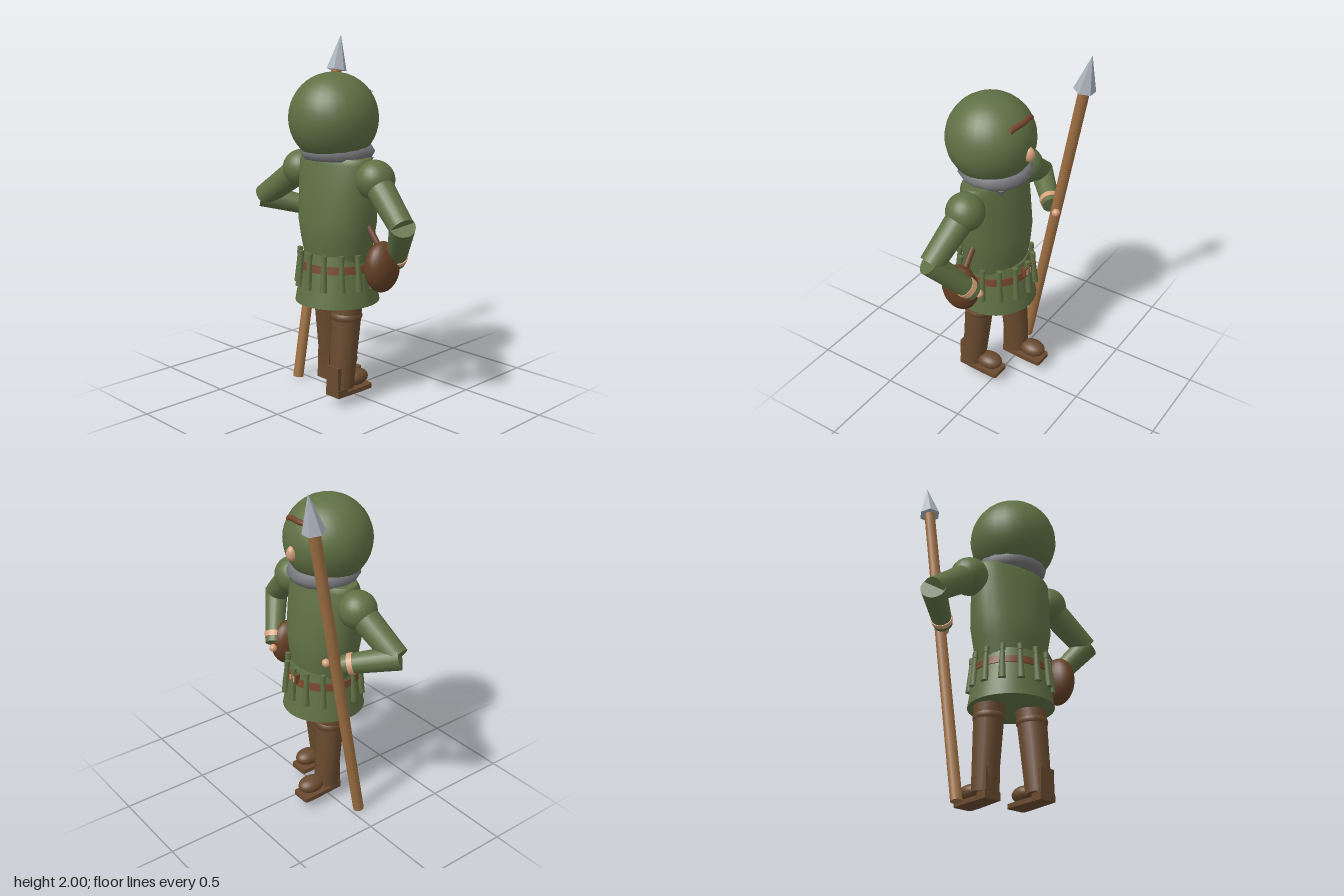
import * as THREE from 'three';

const mat = (name, color) => {
  const m = new THREE.MeshStandardMaterial({ color });
  m.name = name;
  return m;
};
const V = (x, y, z) => new THREE.Vector3(x, y, z);

export function createModel() {
  const green = mat('green cloth', 0x5f7044);
  const leather = mat('brown leather', 0x694a2f);
  const sackBrown = mat('dark sack brown', 0x643f25);
  const beltBrown = mat('belt red brown', 0x75462d);
  const wood = mat('spear wood', 0x9e6f42);
  const steel = mat('steel', 0xaab3bb);
  const skin = mat('skin', 0xd6a17c);
  const grey = mat('grey scarf', 0x77777c);

  const model = new THREE.Group();
  model.name = 'spearman';

  const add = (name, geo, material, pos = [0, 0, 0], scale = [1, 1, 1], parent = model) => {
    const m = new THREE.Mesh(geo, material);
    m.name = name;
    m.position.set(...pos);
    m.scale.set(...scale);
    parent.add(m);
    return m;
  };
  const ball = (name, material, pos, radii, parent) =>
    add(name, new THREE.SphereGeometry(1, 24, 16), material, pos, radii, parent);

  // Tapered rod from point a to point b
  const rod = (name, material, a, b, ra, rb, sides = 20, parent = model) => {
    const dir = b.clone().sub(a);
    const m = add(name, new THREE.CylinderGeometry(rb, ra, dir.length(), sides), material,
      a.clone().add(b).multiplyScalar(0.5).toArray(), [1, 1, 1], parent);
    m.quaternion.setFromUnitVectors(V(0, 1, 0), dir.normalize());
    return m;
  };

  // Elliptical loft; rings from the top down: [y, centre x, half x, half z]
  const loft = (name, material, rings, cz = 0.013) => {
    const n = rings.length - 1;
    const g = new THREE.CylinderGeometry(1, 1, 1, 32, n);
    const p = g.attributes.position;
    for (let i = 0; i < p.count; i++) {
      const [y, cx, hx, hz] = rings[Math.round((0.5 - p.getY(i)) * n)];
      p.setXYZ(i, cx + p.getX(i) * hx, y, cz + p.getZ(i) * hz);
    }
    g.computeVertexNormals();
    return add(name, g, material);
  };

  // Head, nose and brow
  const head = V(-0.084, 1.575, 0.012);
  add('head', new THREE.SphereGeometry(0.244, 28, 20), green, head.toArray());
  ball('nose', skin, [0.152, 1.543, 0.013], [0.034, 0.043, 0.029]);
  const browPoints = [];
  for (let i = -4; i <= 4; i++) {
    const z = i * 0.0255, y = 0.137 - 0.016 * (i / 4) ** 4;
    browPoints.push(V(Math.sqrt(0.241 ** 2 - y * y - z * z), y, z).add(head));
  }
  add('brow', new THREE.TubeGeometry(new THREE.CatmullRomCurve3(browPoints), 24, 0.016, 8), beltBrown);

  // Scarf with a small knot
  const scarf = add('scarf', new THREE.TorusGeometry(0.163, 0.041, 6, 16), grey, [-0.056, 1.393, 0.013]);
  scarf.rotation.x = Math.PI / 2;
  const knot = add('scarfKnot', new THREE.ConeGeometry(0.035, 0.06, 5), grey, [0.055, 1.33, 0.13]);
  knot.rotation.x = Math.PI;

  // Tunic body and skirt
  loft('torso', green, [
    [1.37, -0.063, 0.12, 0.235],
    [1.34, -0.063, 0.137, 0.252],
    [1.2, -0.06, 0.162, 0.253],
    [1.02, -0.058, 0.188, 0.242],
    [0.92, -0.057, 0.183, 0.22],
    [0.8, -0.056, 0.165, 0.195],
  ]);
  loft('skirt', green, [[0.845, -0.056, 0.182, 0.19], [0.565, -0.058, 0.235, 0.234]]);

  // Belt and buckle
  loft('belt', beltBrown, [[0.793, -0.056, 0.2, 0.206], [0.752, -0.056, 0.207, 0.212]]);
  add('buckleFrame', new THREE.BoxGeometry(0.03, 0.055, 0.062), beltBrown, [0.148, 0.795, 0.013]);
  add('buckle', new THREE.BoxGeometry(0.012, 0.034, 0.042), skin, [0.16, 0.795, 0.013]);

  // Ring of hanging powder flasks
  const flasks = new THREE.Group();
  flasks.name = 'powderFlasks';
  model.add(flasks);
  for (let i = 0; i < 14; i++) {
    const a = (i / 14) * Math.PI * 2;
    const at = (r, y) => V(-0.056 + Math.cos(a) * r, y, 0.012 + Math.sin(a) * r);
    rod('flask', green, at(0.222, 0.657), at(0.21, 0.825), 0.021, 0.012, 8, flasks);
    rod('flaskCap', green, at(0.21, 0.82), at(0.208, 0.855), 0.016, 0.016, 8, flasks);
  }

  // Arms: shoulder ball, upper arm, forearm, cuff and hand
  const arm = (name, shoulder, elbow, wrist, hand) => {
    const g = new THREE.Group();
    g.name = name;
    model.add(g);
    ball('shoulder', green, shoulder.toArray(), [0.106, 0.106, 0.106], g);
    rod('upperArm', green, shoulder, elbow, 0.08, 0.066, 20, g);
    const fore = (t) => elbow.clone().lerp(wrist, t);
    rod('forearm', green, fore(-0.05), wrist, 0.068, 0.052, 20, g);
    rod('cuff', skin, fore(0.8), fore(0.9), 0.06, 0.058, 20, g);
    ball('hand', skin, hand.toArray(), [0.023, 0.023, 0.023], g);
  };
  arm('rightArm', V(-0.056, 1.268, 0.295), V(-0.108, 1.055, 0.535), V(0.035, 0.825, 0.365), V(0.058, 0.808, 0.345));
  arm('leftArm', V(-0.056, 1.268, -0.278), V(-0.105, 1.08, -0.545), V(0.09, 1.015, -0.34), V(0.155, 1.02, -0.28));

  // Sack and its handle
  ball('sack', sackBrown, [-0.06, 0.81, 0.355], [0.112, 0.138, 0.077]);
  rod('sackHandle', sackBrown, V(-0.05, 0.9, 0.33), V(-0.05, 1.03, 0.225), 0.017, 0.017, 10);

  // Legs and shoes: hip x, ankle x, z
  const leg = (name, hipX, ankleX, hipZ, z) => {
    const g = new THREE.Group();
    g.name = name;
    model.add(g);
    const hip = V(hipX, 0.62, hipZ), ankle = V(ankleX, 0.1, z);
    rod('trouser', leather, ankle, hip, 0.069, 0.085, 20, g);
    const k = ankle.clone().lerp(hip, 0.77);
    ball('knee', leather, k.toArray(), [0.088, 0.05, 0.086], g);
    add('heel', new THREE.BoxGeometry(0.06, 0.125, 0.09), leather, [ankleX - 0.04, 0.163, z], [1, 1, 1], g);
    add('heelPad', new THREE.BoxGeometry(0.07, 0.022, 0.1), leather, [ankleX - 0.035, 0.088, z], [1, 1, 1], g);
    ball('toe', leather, [ankleX + 0.11, 0.125, z], [0.08, 0.046, 0.06], g);
    // Sole with clipped front corners
    const s = new THREE.Shape([[-0.07, -0.05], [0.1, -0.059], [0.18, -0.059], [0.19, -0.049],
      [0.19, 0.049], [0.18, 0.059], [0.1, 0.059], [-0.07, 0.05]].map(([x, y]) => new THREE.Vector2(x, y)));
    const sole = add('sole', new THREE.ExtrudeGeometry(s, { depth: 0.025, bevelEnabled: false }),
      leather, [ankleX, 0.055, z], [1, 1, 1], g);
    sole.rotation.x = -Math.PI / 2;
  };
  leg('rightLeg', -0.085, -0.14, 0.125, 0.128);
  leg('leftLeg', -0.022, 0.015, -0.102, -0.106);

  // Spear
  const base = V(-0.05, 0.006, -0.33), neck = V(0.272, 1.8, -0.33);
  const tip = neck.clone().add(neck.clone().sub(base).normalize().multiplyScalar(0.202));
  rod('spearShaft', wood, base, neck, 0.031, 0.031, 12);
  const point = rod('spearPoint', steel, neck, tip, 0.061, 0.0005, 6);
  point.geometry = point.geometry.toNonIndexed();
  point.geometry.computeVertexNormals();

  return model;
}
